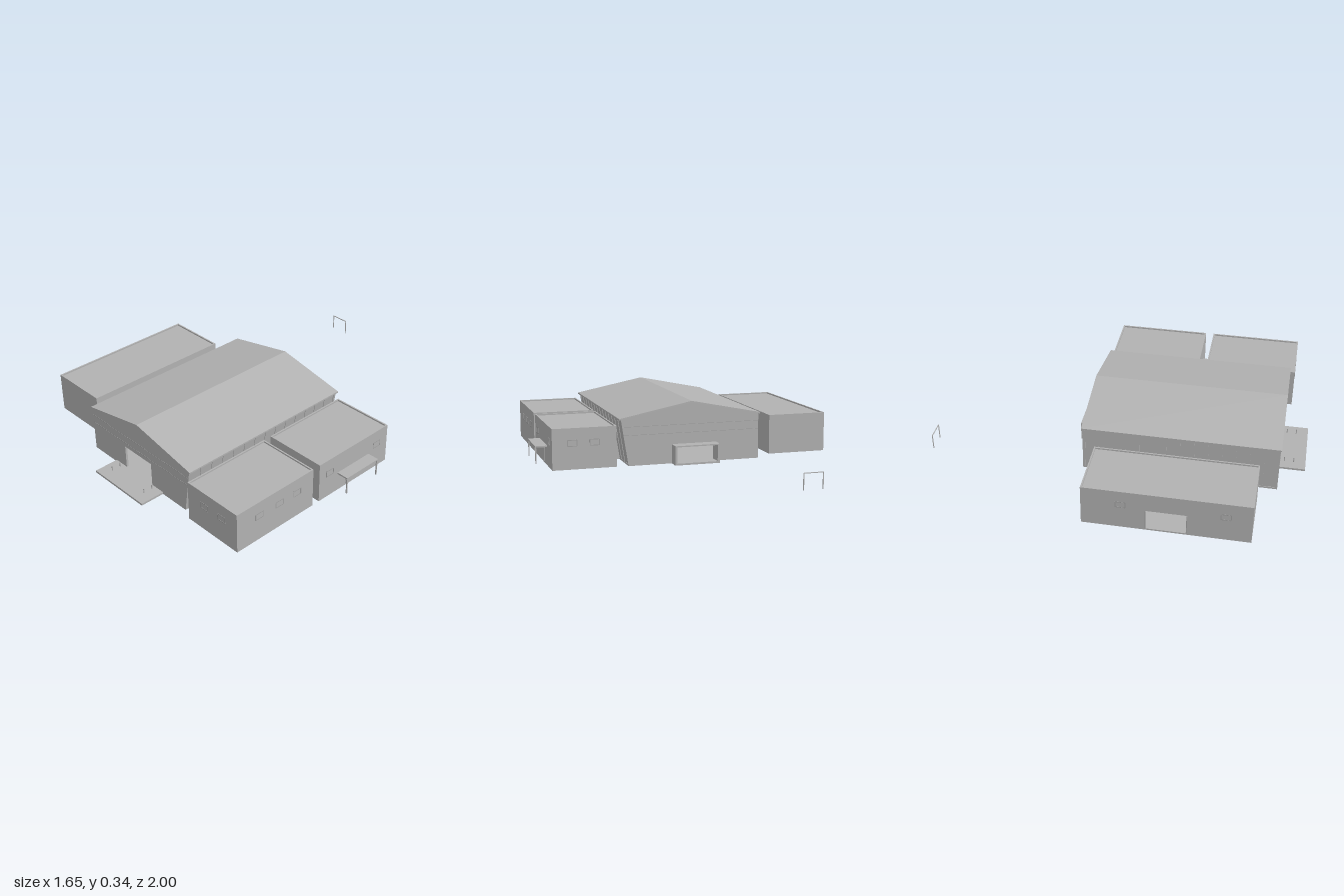
import * as THREE from 'three';

const concrete = new THREE.MeshStandardMaterial({ color: 0xb2b2b2 });
const trim = new THREE.MeshStandardMaterial({ color: 0xa0a0a0 });

// box given by its min and max on each axis
function box(parent, name, x0, x1, y0, y1, z0, z1, mat = concrete) {
  const m = new THREE.Mesh(new THREE.BoxGeometry(x1 - x0, y1 - y0, z1 - z0), mat);
  m.position.set((x0 + x1) / 2, (y0 + y1) / 2, (z0 + z1) / 2);
  m.name = name;
  parent.add(m);
  return m;
}

// outline in x/y pushed from z0 to z1, with an optional rectangular opening
function slab(parent, name, pts, z0, z1, hole) {
  const shape = new THREE.Shape(pts.map(p => new THREE.Vector2(...p)));
  if (hole) {
    const [a, b, c, d] = hole;
    shape.holes.push(new THREE.Path([[a, c], [a, d], [b, d], [b, c]].map(p => new THREE.Vector2(...p))));
  }
  const m = new THREE.Mesh(new THREE.ExtrudeGeometry(shape, { depth: z1 - z0, bevelEnabled: false }), concrete);
  m.position.z = z0;
  m.name = name;
  parent.add(m);
  return m;
}

// thin window frame centred on a wall; axis is the wall's normal
function windowFrame(parent, axis, x, y, z, w = 0.05, h = 0.032) {
  const g = new THREE.Group();
  g.name = 'window';
  const t = 0.004, d = 0.0015;
  for (const s of [-1, 1]) {
    box(g, 'windowRail', -w / 2, w / 2, s * h / 2 - t / 2, s * h / 2 + t / 2, -d, d, trim);
    box(g, 'windowStile', s * w / 2 - t / 2, s * w / 2 + t / 2, -h / 2, h / 2, -d, d, trim);
  }
  if (axis === 'x') g.rotation.y = Math.PI / 2;
  g.position.set(x, y, z);
  parent.add(g);
}

// flat-roofed annex with a low parapet; doorZ cuts an opening in its -x wall
function annex(name, x0, x1, z0, z1, doorZ) {
  const g = new THREE.Group();
  g.name = name;
  const h = 0.22, t = 0.008;
  box(g, 'floor', x0, x1, 0, 0.008, z0, z1);
  box(g, 'flatRoof', x0 + t, x1 - t, 0.204, 0.212, z0 + t, z1 - t);
  box(g, 'backWall', x0, x1, 0.008, h, z0, z0 + t);
  box(g, 'frontWall', x0, x1, 0.008, h, z1 - t, z1);
  box(g, 'innerWall', x1 - t, x1, 0.008, h, z0 + t, z1 - t);
  if (doorZ) {
    const [a, b] = doorZ;
    box(g, 'outerWall', x0, x0 + t, 0.008, h, z0 + t, a);
    box(g, 'outerWall', x0, x0 + t, 0.008, h, b, z1 - t);
    box(g, 'doorLintel', x0, x0 + t, 0.12, h, a, b);
  } else {
    box(g, 'outerWall', x0, x0 + t, 0.008, h, z0 + t, z1 - t);
  }
  return g;
}

function createHall() {
  const g = new THREE.Group();
  g.name = 'mainHall';
  const gable = [[-0.385, 0], [0.35, 0], [0.39, 0.25], [0, 0.325], [-0.385, 0.25]];
  slab(g, 'frontGable', gable, 0.853, 0.865, [-0.12, 0.09, 0.01, 0.14]);
  slab(g, 'backGable', gable, -0.165, -0.153, [-0.128, 0.098, 0.01, 0.098]);
  box(g, 'hallFloor', -0.385, 0.35, 0, 0.01, -0.153, 0.853);

  // upright wall on one side, outward leaning wall on the other
  slab(g, 'uprightWall', [[-0.382, 0], [-0.372, 0], [-0.372, 0.25], [-0.382, 0.25]], -0.153, 0.853);
  slab(g, 'leaningWall', [[0.337, 0], [0.347, 0], [0.387, 0.25], [0.377, 0.25]], -0.153, 0.853);

  // pitched roof sheet
  slab(g, 'pitchedRoof', [[-0.392, 0.248], [0, 0.325], [0.4, 0.248], [0.4, 0.256], [0, 0.335], [-0.392, 0.256]], -0.17, 0.87);

  // columns along both sides, rafters below the roof
  const bays = 14;
  for (let i = 0; i <= bays; i++) {
    const z = -0.155 + i * (1.01 / bays) - 0.004 + 0.004;
    const z0 = Math.max(-0.153, z - 0.004), z1 = Math.min(0.853, z + 0.004);
    slab(g, 'column', [[-0.386, 0], [-0.381, 0], [-0.381, 0.25], [-0.386, 0.25]], z0, z1);
    slab(g, 'column', [[0.345, 0], [0.35, 0], [0.39, 0.25], [0.385, 0.25]], z0, z1);
    slab(g, 'rafter', [[-0.372, 0.24], [0, 0.313], [0.377, 0.24], [0.377, 0.251], [0, 0.326], [-0.372, 0.251]], z0, z1);
  }

  // facade panel joints
  for (const y of [0.165, 0.21]) {
    const right = 0.35 + 0.16 * y;
    box(g, 'panelJoint', -0.385, right, y - 0.001, y + 0.001, 0.865, 0.866, trim);
    box(g, 'panelJoint', -0.385, right, y - 0.001, y + 0.001, -0.166, -0.165, trim);
  }
  return g;
}

export function createModel() {
  const model = new THREE.Group();
  model.name = 'hallComplex';
  model.add(createHall());

  // side buildings
  model.add(annex('longAnnex', -0.82, -0.485, -0.08, 0.77, [0.245, 0.45]));
  model.add(annex('rearAnnex', 0.412, 0.757, -0.16, 0.345));
  model.add(annex('frontAnnex', 0.412, 0.757, 0.39, 0.895));

  // low link passages
  box(model, 'longLink', -0.485, -0.386, 0, 0.105, 0.25, 0.45);
  for (const [a, b] of [[0.03, 0.155], [0.54, 0.665]]) {
    slab(model, 'shortLink', [[0.348, 0], [0.412, 0], [0.412, 0.105], [0.365, 0.105]], a, b);
  }
  box(model, 'annexLink', 0.52, 0.645, 0, 0.108, 0.345, 0.39);

  // windows
  for (const z of [0.5, 0.62, 0.75]) windowFrame(model, 'x', 0.757, 0.14, z);
  for (const z of [-0.08, 0.27]) windowFrame(model, 'x', 0.757, 0.14, z);
  for (const z of [0.12, 0.64]) windowFrame(model, 'x', -0.82, 0.14, z);
  for (const x of [0.53, 0.65]) {
    windowFrame(model, 'z', x, 0.14, 0.895);
    windowFrame(model, 'z', x, 0.14, -0.16);
  }
  for (const z of [0.245, 0.45]) box(model, 'doorJamb', -0.824, -0.82, 0.01, 0.12, z - 0.002, z + 0.002, trim);

  // side entrance with canopy
  box(model, 'sideDoor', 0.757, 0.76, 0.01, 0.095, 0.05, 0.15);
  box(model, 'canopy', 0.757, 0.822, 0.1, 0.108, -0.02, 0.212);
  for (const z of [-0.016, 0.208]) box(model, 'canopyPost', 0.815, 0.821, 0.012, 0.1, z - 0.003, z + 0.003);

  // open rear porch
  slab(model, 'rearPorch', [[-0.14, 0], [0.11, 0], [0.11, 0.105], [-0.14, 0.105]], -0.23, -0.165, [-0.128, 0.098, 0.01, 0.098]);

  // front terrace and bollards
  box(model, 'terrace', -0.205, 0.175, 0, 0.011, 0.865, 1);
  for (const x of [-0.147, 0.114]) {
    for (const z of [0.887, 0.937]) {
      const b = new THREE.Mesh(new THREE.CylinderGeometry(0.003, 0.003, 0.026, 8), concrete);
      b.position.set(x, 0.024, z);
      b.name = 'bollard';
      model.add(b);
    }
  }

  // free-standing frame behind the hall
  const frame = new THREE.Group();
  frame.name = 'gateFrame';
  for (const x of [-0.388, -0.287]) box(frame, 'gatePost', x - 0.002, x + 0.002, 0.012, 0.098, -1, -0.996);
  box(frame, 'gateBeam', -0.39, -0.285, 0.094, 0.098, -1, -0.996);
  model.add(frame);

  return model;
}
